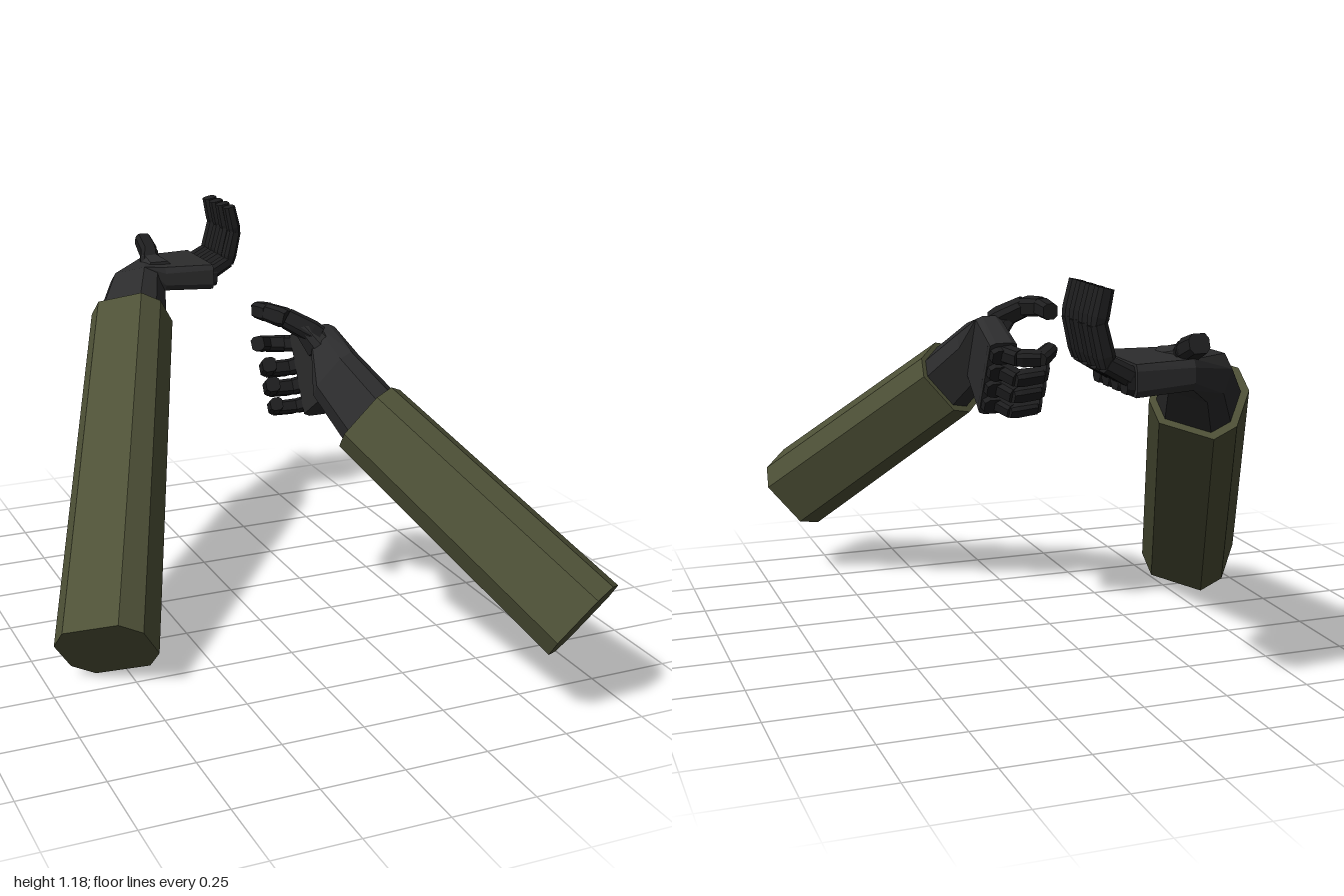
import * as THREE from 'three';
import { ConvexGeometry } from 'three/addons/geometries/ConvexGeometry.js';

const V = (x, y, z) => new THREE.Vector3(x, y, z);

// Chamfered rectangular ring: centre c, axes a and b, half extents ha and hb
function ring(c, a, b, ha, hb, ka = 0.62, kb = 0.5) {
  const pts = [];
  for (const s of [-1, 1]) for (const t of [-1, 1]) {
    pts.push(c.clone().addScaledVector(a, s * ha * ka).addScaledVector(b, t * hb));
    pts.push(c.clone().addScaledVector(a, s * ha).addScaledVector(b, t * hb * kb));
  }
  return pts;
}

export function createModel() {
  const olive = new THREE.MeshStandardMaterial({ color: 0x4e5137 });
  const charcoal = new THREE.MeshStandardMaterial({ color: 0x2c2c2d });
  const black = new THREE.MeshStandardMaterial({ color: 0x1e1e1f });
  olive.name = 'olive cloth';
  charcoal.name = 'charcoal glove';
  black.name = 'black finger';

  const model = new THREE.Group();
  model.name = 'armPair';

  function hull(parent, name, material, ...rings) {
    const mesh = new THREE.Mesh(new ConvexGeometry(rings.flat()), material);
    mesh.name = name;
    parent.add(mesh);
  }

  function buildArm(o) {
    const arm = new THREE.Group();
    arm.name = o.name;
    model.add(arm);

    // Sleeve: tapered, with an irregular octagonal section
    const dir = o.cuff.clone().sub(o.elbow).normalize();
    const a = o.side.clone().addScaledVector(dir, -o.side.dot(dir)).normalize();
    const b = dir.clone().cross(a).normalize();
    const [wa, wb] = o.size;
    hull(arm, 'sleeve', olive,
      ring(o.elbow, a, b, wa, wb), ring(o.cuff, a, b, wa * 0.88, wb * 0.88));

    // Wrist, narrowing out of the cuff
    const inner = o.cuff.clone().addScaledVector(dir, -0.02);
    const wristEnd = ring(o.wrist, a, b, 0.085, 0.075);
    hull(arm, 'wrist', charcoal, ring(inner, a, b, wa * 0.76, wb * 0.76), wristEnd);

    // Hand frame: forward, towards the thumb, out of the palm
    const { forward: f, thumbward: t, palmward: p } = o;
    const at = (x, y, z) => o.palm.clone()
      .addScaledVector(f, x).addScaledVector(t, y).addScaledVector(p, z);
    const palmBack = ring(at(-0.085, 0, 0), t, p, 0.115, 0.04, 0.9, 0.5);
    hull(arm, 'heel', charcoal, wristEnd, palmBack);
    hull(arm, 'palm', charcoal, palmBack,
      ring(at(0.08, 0, -0.003), t, p, 0.132, 0.042, 0.94, 0.6));

    // Jointed digit following a short path
    function digit(name, path, w, taper) {
      for (let i = 0; i < path.length - 1; i++) {
        const s = at(...path[i]), e = at(...path[i + 1]);
        const d = e.clone().sub(s).normalize();
        const up = d.clone().cross(Math.abs(d.dot(t)) > 0.8 ? f : t).normalize();
        const across = up.clone().cross(d).normalize();
        const r0 = w * (1 - taper * i), r1 = w * (1 - taper * (i + 1));
        s.addScaledVector(d, -0.008);
        hull(arm, name + 'Segment' + (i + 1), black,
          ring(s, across, up, r0 * 0.85, r0 * 0.85),
          ring(s.clone().lerp(e, 0.25), across, up, r0, r0),
          ring(e, across, up, r1, r1 * 0.95));
      }
    }

    ['index', 'middle', 'ring', 'little'].forEach((n, i) => {
      const y = 0.093 - i * 0.061;
      hull(arm, n + 'Knuckle', black,
        ring(at(0.06, y, -0.012), t, p, 0.026, 0.033), ring(at(0.1, y, -0.008), t, p, 0.025, 0.03));
      const path = (i === 0 && o.indexCurl) || o.curl;
      digit(n + 'Finger', path.map(([x, z, dy = 0]) => [x, y + dy, z]), i === 3 ? 0.023 : 0.026, 0.05);
    });

    // Thumb with its fleshy base
    const [base, mid] = o.thumb;
    hull(arm, 'thumbBase', charcoal,
      ring(at(base[0] + 0.02, base[1] - 0.05, 0.01), f, p, 0.05, 0.04),
      ring(at(...base).lerp(at(...mid), 0.4), f, p, 0.032, 0.03));
    digit('thumb', o.thumb, 0.032, 0.08);
  }

  // Right arm: long, with an open hand turned palm up
  buildArm({
    name: 'rightArm',
    elbow: V(-0.586, 0.116, 0.245), cuff: V(-0.175, 0.84, -0.69),
    side: V(0.80, 0.245, 0.54), size: [0.14, 0.126],
    wrist: V(-0.115, 0.925, -0.8), palm: V(0.05, 0.948, -0.85),
    forward: V(1, 0, 0), thumbward: V(0, 0, -1), palmward: V(0, 1, 0),
    curl: [[0.075, 0], [0.148, 0.04], [0.172, 0.14], [0.153, 0.227]],
    thumb: [[-0.11, -0.01, 0.02], [-0.085, 0.06, 0.055], [-0.08, 0.143, 0.085]],
  });

  // Left arm: shorter, with a curled hand facing inwards
  buildArm({
    name: 'leftArm',
    elbow: V(0.597, 0.284, 0.905), cuff: V(0.215, 0.745, 0.315),
    side: V(0.623, 0.758, 0.189), size: [0.13, 0.117],
    wrist: V(0.16, 0.85, 0.195), palm: V(0.17, 0.83, 0.05),
    forward: V(0, -0.46, -0.888), thumbward: V(0, 0.888, -0.46), palmward: V(-1, 0, 0),
    curl: [[0.07, 0], [0.125, 0.04], [0.115, 0.12], [0.025, 0.145]],
    indexCurl: [[0.07, 0], [0.125, 0.035, 0.015], [0.145, 0.095, 0.025], [0.1, 0.14, 0.02]],
    thumb: [[-0.11, 0.08, 0.03], [-0.085, 0.145, 0.11], [-0.03, 0.18, 0.14], [0.035, 0.205, 0.145]],
  });

  return model;
}
